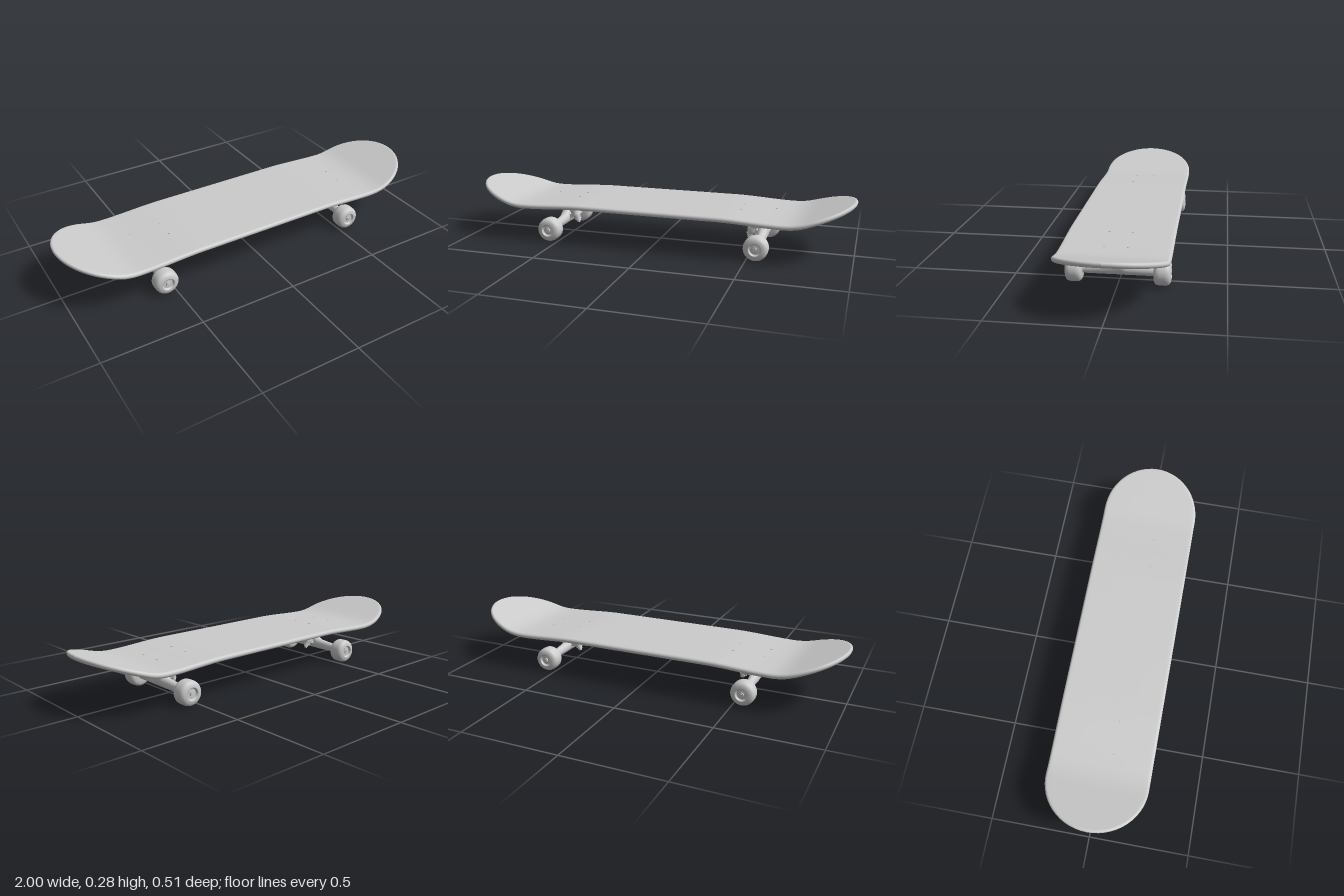
import * as THREE from 'three';

const grey = new THREE.MeshStandardMaterial({ color: 0xcccccc, roughness: 0.7 });

function add(parent, name, geometry, x = 0, y = 0, z = 0) {
  const mesh = new THREE.Mesh(geometry, grey);
  mesh.name = name;
  mesh.position.set(x, y, z);
  parent.add(mesh);
  return mesh;
}

// Skin a list of closed rings (arrays of [x, y, z]) with smooth normals
function loft(rings) {
  const n = rings[0].length, index = [];
  for (let i = 0; i < rings.length - 1; i++) {
    for (let k = 0; k < n; k++) {
      const a = i * n + k, d = i * n + (k + 1) % n;
      index.push(a, a + n, d + n, a, d + n, d);
    }
  }
  const g = new THREE.BufferGeometry();
  g.setAttribute('position', new THREE.Float32BufferAttribute(rings.flat(2), 3));
  g.setIndex(index);
  g.computeVertexNormals();
  return g;
}

// Height of the deck's middle layer: flat centre, slight dip, kicked-up ends
const HALF = 0.013;
function deckY(x) {
  const a = Math.abs(x), t = Math.max(0, a - 0.68);
  const kick = t < 0.1 ? 1.6 * t * t : 0.016 + 0.32 * (t - 0.1);
  return 0.2 - 0.013 * THREE.MathUtils.smoothstep(a, 0.35, 0.68) + kick;
}

function deckGeometry() {
  // Half section: [share of width, inset of outline, height offset]
  const side = [[0.5, 0, 1], [0.94, 0, 1]];
  for (let k = 0; k <= 8; k++) {
    const t = Math.PI * (0.5 - k / 8);
    side.push([1, HALF * (1 - Math.cos(t)), Math.sin(t)]);
  }
  side.push([0.94, 0, -1], [0.5, 0, -1]);
  const section = [
    ...side.map(([f, d, h]) => [-f, d, h]),
    ...side.slice().reverse().map(([f, d, h]) => [f, d, h]),
  ];
  // Stations: rounded end, straight run, rounded end
  const stations = [];
  for (let i = 0; i < 14; i++) stations.push([-0.75, -Math.PI / 2 * (1 - i / 14)]);
  for (let i = 0; i <= 50; i++) stations.push([-0.75 + 1.5 * i / 50, 0]);
  for (let i = 1; i <= 14; i++) stations.push([0.75, Math.PI / 2 * i / 14]);
  return loft(stations.map(([x0, phi]) => section.map(([f, d, h]) => {
    const inset = Math.abs(f) < 1 ? HALF : d;
    const x = x0 + (0.25 - inset) * Math.sin(phi);
    return [x, deckY(x) + h * HALF, f * (0.255 - inset) * Math.cos(phi)];
  })));
}

// Axle hanger: oval sections along z, swelling upward in the middle
function hangerGeometry() {
  const half = [[0.175, 0.087, 0.02], [0.12, 0.091, 0.021], [0.075, 0.095, 0.022], [0.05, 0.099, 0.024],
    [0.035, 0.104, 0.026], [0.025, 0.111, 0.027], [0.016, 0.121, 0.027], [0.008, 0.125, 0.027]];
  const all = [...half.map(([z, t, w]) => [-z, t, w]), ...half.slice().reverse()];
  return loft(all.map(([z, top, w]) => {
    const ring = [];
    for (let k = 0; k < 20; k++) {
      const a = -k / 20 * Math.PI * 2;
      ring.push([w * Math.cos(a), (0.043 + top) / 2 + (top - 0.043) / 2 * Math.sin(a), z]);
    }
    return ring;
  }));
}

// Wheel profile, [radius, distance along axle], with a recessed outer face
function wheelGeometry() {
  const pts = [[0, 0], [0.03, 0], [0.046, 0.002], [0.055, 0.007], [0.06, 0.016], [0.0615, 0.028], [0.0615, 0.052],
    [0.06, 0.063], [0.055, 0.072], [0.046, 0.077], [0.034, 0.08], [0.03, 0.079], [0.028, 0.07], [0.024, 0.068],
    [0.022, 0.07], [0.0, 0.07]];
  return new THREE.LatheGeometry(pts.map(p => new THREE.Vector2(...p)), 36);
}

// One truck; local +x points to the middle of the board
function buildTruck() {
  const truck = new THREE.Group();
  add(truck, 'basePlate', new THREE.BoxGeometry(0.2, 0.024, 0.124), 0.025, 0.178, 0);

  const outline = [[-0.068, 0.17], [-0.025, 0.122], [0.002, 0.118], [0.02, 0.137], [0.085, 0.137], [0.115, 0.17]];
  const block = new THREE.ExtrudeGeometry(new THREE.Shape(outline.map(p => new THREE.Vector2(...p))),
    { depth: 0.036, bevelEnabled: true, bevelSize: 0.002, bevelThickness: 0.002, bevelSegments: 1 });
  add(truck, 'baseBlock', block, 0, 0, -0.018);

  add(truck, 'hanger', hangerGeometry());
  add(truck, 'pivot', new THREE.CylinderGeometry(0.012, 0.016, 0.04, 16), -0.008, 0.115, 0);

  // Slanted kingpin stack
  const kingpin = new THREE.Group();
  kingpin.name = 'kingpin';
  kingpin.position.set(0.055, 0.098, 0);
  kingpin.rotation.z = 0.4;
  truck.add(kingpin);
  const stack = [['upperWasher', 0.027, 0.027, 0.006, 0.033], ['upperBushing', 0.025, 0.022, 0.024, 0.018],
    ['hangerRing', 0.026, 0.026, 0.014, 0], ['lowerBushing', 0.021, 0.017, 0.02, -0.017],
    ['lowerWasher', 0.019, 0.019, 0.004, -0.029], ['kingpinBolt', 0.007, 0.007, 0.1, 0]];
  for (const [name, top, bottom, height, y] of stack)
    add(kingpin, name, new THREE.CylinderGeometry(top, bottom, height, 20), 0, y, 0);
  add(kingpin, 'kingpinNut', new THREE.CylinderGeometry(0.013, 0.013, 0.012, 6), 0, -0.037, 0);
  add(truck, 'yoke', new THREE.BoxGeometry(0.055, 0.022, 0.034), 0.028, 0.084, 0).rotation.z = 0.4;

  // Wheels and axle ends
  for (const s of [1, -1]) {
    const wheel = new THREE.Group();
    wheel.name = s > 0 ? 'wheelFront' : 'wheelBack';
    wheel.position.set(0, 0.0635, s * 0.165);
    wheel.rotation.x = s * Math.PI / 2;
    truck.add(wheel);
    add(wheel, 'tyre', wheelGeometry());
    add(wheel, 'axleNut', new THREE.CylinderGeometry(0.012, 0.012, 0.01, 6), 0, 0.074, 0);
    add(wheel, 'axleEnd', new THREE.CylinderGeometry(0.006, 0.006, 0.02, 12), 0, 0.072, 0);
  }

  // Mounting nuts under the plate
  for (const x of [-0.058, 0.108])
    for (const z of [-0.054, 0.054])
      add(truck, 'mountingNut', new THREE.CylinderGeometry(0.008, 0.008, 0.01, 6), x, 0.164, z);
  return truck;
}

export function createModel() {
  const board = new THREE.Group();
  board.name = 'skateboard';
  add(board, 'deck', deckGeometry());

  for (const s of [-1, 1]) {
    const truck = buildTruck();
    truck.name = s < 0 ? 'rightTruck' : 'leftTruck';
    truck.position.x = s * 0.545;
    if (s > 0) truck.rotation.y = Math.PI;
    board.add(truck);
    // Bolt heads set flush in the deck top
    for (const u of [-0.058, 0.108])
      for (const z of [-0.054, 0.054]) {
        const x = s * (0.545 - u);
        add(board, 'boltHead', new THREE.CylinderGeometry(0.007, 0.007, 0.005, 12), x, deckY(x) + HALF - 0.001, z);
      }
  }
  return board;
}
